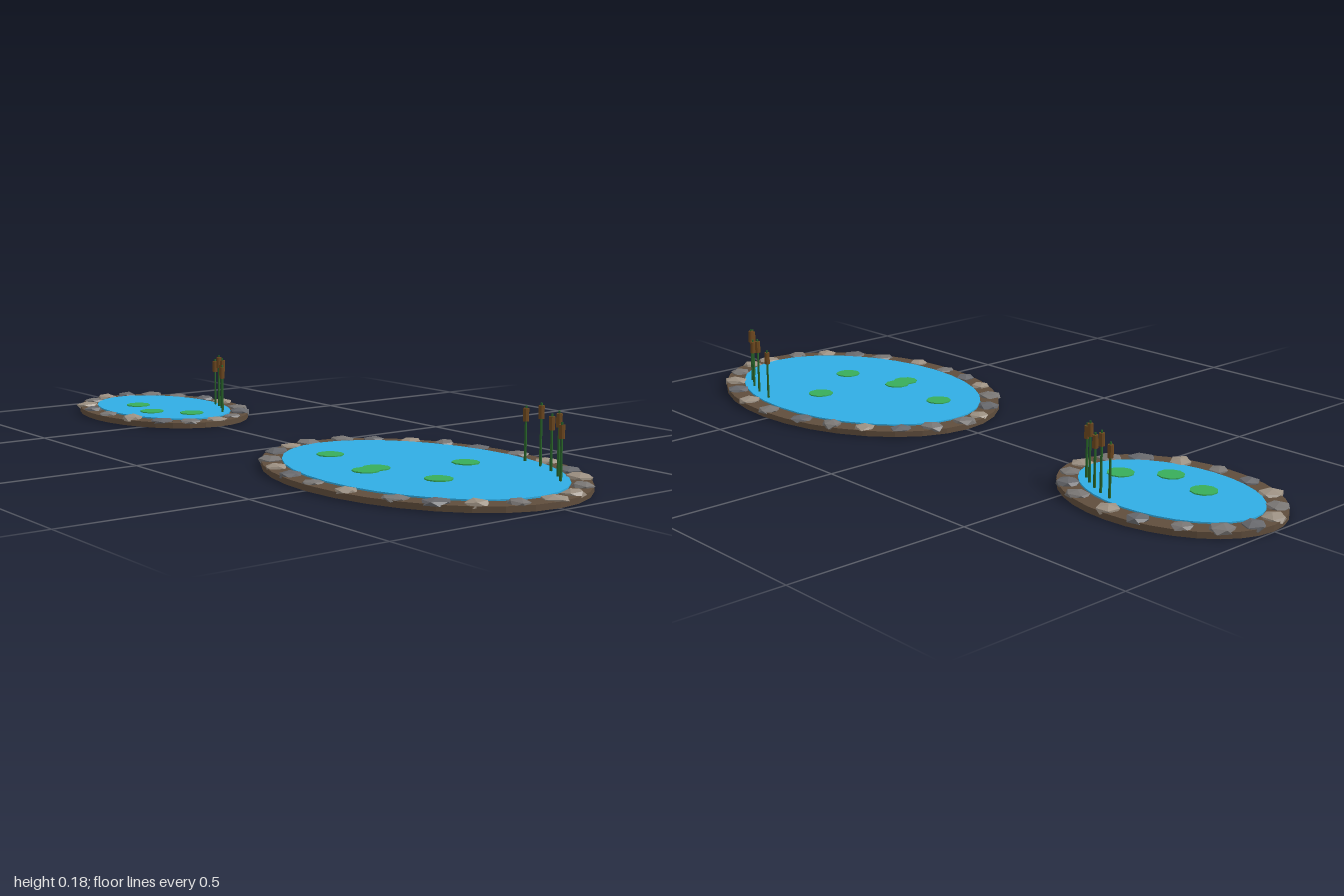
import * as THREE from 'three';

const mat = (name, color) => {
  const m = new THREE.MeshStandardMaterial({ color, flatShading: true });
  m.name = name;
  return m;
};
const earth = mat('earth brown', 0x5f4d3c);
const waterBlue = mat('water blue', 0x30ade4);
const padGreen = mat('lily green', 0x38ad5a);
const stemGreen = mat('reed green', 0x28662a);
const headBrown = mat('cattail brown', 0x6e481e);
const stones = [mat('grey stone', 0x797674), mat('tan stone', 0x9c9082), mat('dark stone', 0x67686c)];

// Seeded random numbers
function seeded(seed) {
  return () => {
    seed = (seed * 16807) % 2147483647;
    return seed / 2147483647;
  };
}

function add(parent, name, geometry, material, x = 0, y = 0, z = 0) {
  const mesh = new THREE.Mesh(geometry, material);
  mesh.name = name;
  mesh.position.set(x, y, z);
  parent.add(mesh);
  return mesh;
}

// Elliptical slab between two heights
function slab(rx, rz, y0, y1) {
  return new THREE.CylinderGeometry(1, 1, y1 - y0, 32)
    .scale(rx, 1, rz)
    .translate(0, (y0 + y1) / 2, 0);
}

// Peaked stone: icosahedron with a corner up, tipped a little and flattened
function stoneGeometry(rand, r) {
  return new THREE.IcosahedronGeometry(1, 0)
    .rotateX(-1.017 + (rand() - 0.5) * 0.6)
    .rotateZ((rand() - 0.5) * 0.6)
    .scale(r * (0.9 + rand() * 0.2), 0.008 + rand() * 0.007, r * (0.9 + rand() * 0.2))
    .rotateY(rand() * 6.28);
}

// Reed with a narrow tip above its seed head
function cattail(tall) {
  const g = new THREE.Group();
  g.name = 'cattail';
  const top = tall ? 0.177 : 0.16;
  add(g, 'stem', new THREE.CylinderGeometry(0.0026, 0.0038, top - 0.01, 6), stemGreen, 0, (top + 0.01) / 2, 0);
  add(g, 'seedHead', new THREE.CylinderGeometry(0.0075, 0.0075, 0.033, 8), headBrown, 0, top - 0.023, 0);
  return g;
}

function pond({ name, x, bank, water, bottoms, rocks, seed, pads, reeds }) {
  const g = new THREE.Group();
  g.name = name;
  g.position.x = x;
  const rand = seeded(seed);
  add(g, 'bank', slab(bank[0], bank[1], bottoms[0], 0.016), earth);
  add(g, 'water', slab(water[0], water[1], bottoms[1], 0.02), waterBlue);

  // Stones along the bank, one digit of the pattern for each stone's colour
  [...rocks].forEach((digit, i) => {
    const a = (i / rocks.length) * Math.PI * 2 + (rand() - 0.5) * 0.08;
    const inset = 0.022 + rand() * 0.007;
    add(g, 'stone', stoneGeometry(rand, 0.03 + rand() * 0.006), stones[digit],
      Math.cos(a) * (bank[0] - inset), 0.016, Math.sin(a) * (bank[1] - inset));
  });

  // Lily pads and reeds, placed in model coordinates
  for (const [px, pz] of pads) {
    add(g, 'lilyPad', new THREE.CylinderGeometry(0.035, 0.035, 0.004, 10), padGreen, px - x, 0.021, pz);
  }
  reeds.forEach(([px, pz], i) => {
    const reed = cattail(i % 2 === 1);
    reed.position.set(px - x, 0, pz);
    g.add(reed);
  });
  return g;
}

export function createModel() {
  const model = new THREE.Group();
  model.name = 'ponds';
  model.add(pond({
    name: 'smallPond', x: -0.686, bank: [0.312, 0.229], water: [0.258, 0.175],
    bottoms: [0, 0.001], rocks: '10210210120021020', seed: 4127,
    pads: [[-0.75, 0.05], [-0.62, 0.08], [-0.525, 0]],
    reeds: [[-0.63, -0.153], [-0.59, -0.141], [-0.555, -0.126], [-0.52, -0.107], [-0.49, -0.086]],
  }));
  model.add(pond({
    name: 'largePond', x: 0.515, bank: [0.473, 0.345], water: [0.418, 0.292],
    bottoms: [0.001, 0], rocks: '101201021021002102012101', seed: 9973,
    pads: [[0.54, -0.125], [0.255, 0.08], [0.465, 0.1], [0.475, 0.14], [0.655, 0.065]],
    reeds: [[0.61, -0.26], [0.68, -0.243], [0.74, -0.219], [0.795, -0.187], [0.84, -0.15]],
  }));
  return model;
}
